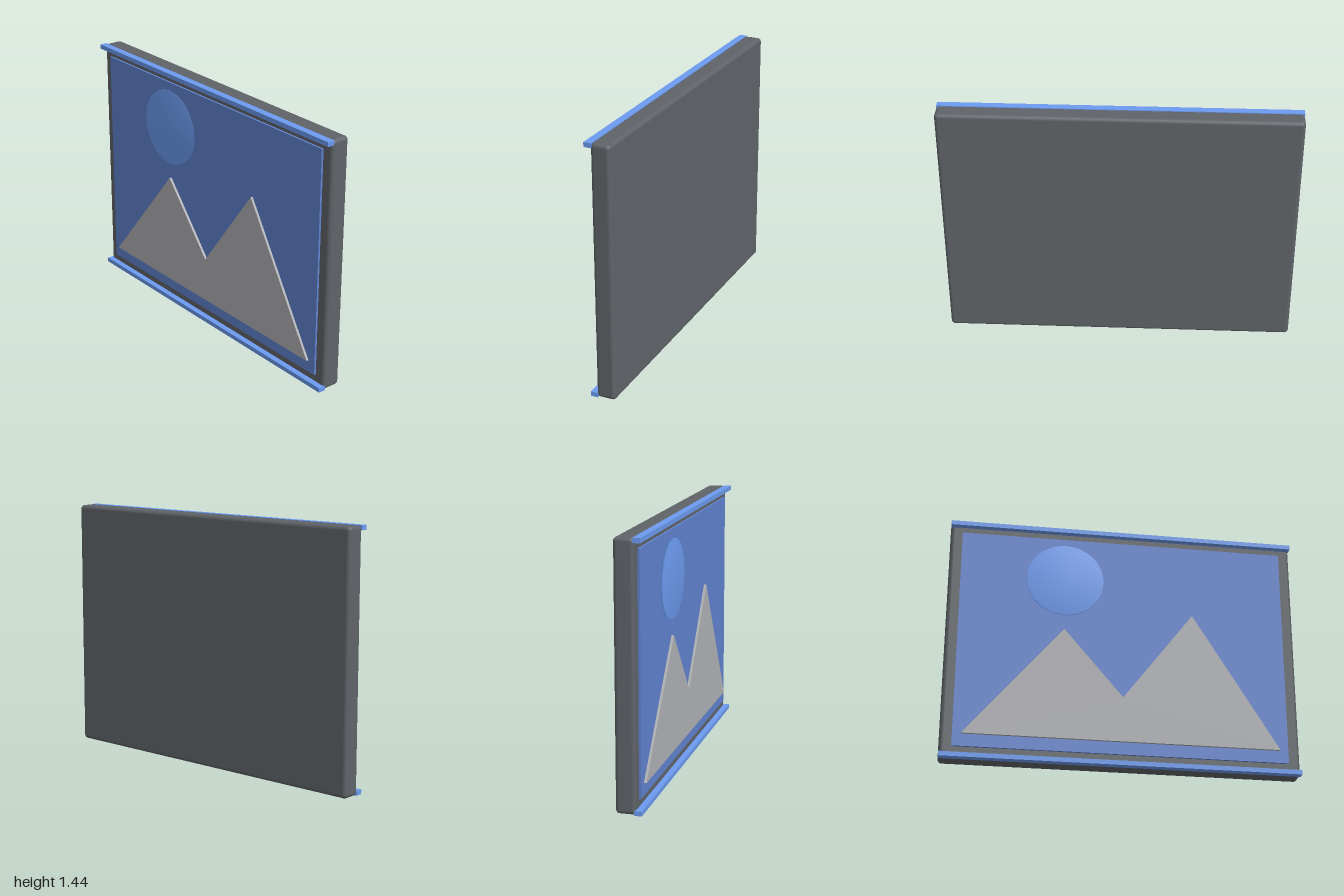
import * as THREE from 'three';
import { RoundedBoxGeometry } from 'three/addons/geometries/RoundedBoxGeometry.js';
import { mergeVertices } from 'three/addons/utils/BufferGeometryUtils.js';

const HEIGHT = 1.444;

export function createModel() {
  const model = new THREE.Group();
  model.name = 'pictureFrame';

  const material = (color) => new THREE.MeshStandardMaterial({ color });
  const dark = material(0x5f6368);
  const lightBlue = material(0x6c9bf0);
  const blue = material(0x6083cf);
  const grey = material(0xb0b1b5);

  const add = (name, geometry, mat, x, y, z) => {
    const mesh = new THREE.Mesh(geometry, mat);
    mesh.name = name;
    mesh.position.set(x, y, z);
    model.add(mesh);
    return mesh;
  };

  // Rounded backing slab
  add('frameBody', new RoundedBoxGeometry(2, HEIGHT, 0.11, 4, 0.022), dark, 0, HEIGHT / 2, -0.017);

  // Sky panel, slightly proud of the slab
  add('skyPanel', new THREE.BoxGeometry(1.866, 1.312, 0.02), blue, 0, 0.725, 0.04);

  // Thin rails along the top and bottom edges
  const rail = new THREE.BoxGeometry(2, 0.026, 0.042);
  add('bottomRail', rail, lightBlue, 0, 0.013, 0.051);
  add('topRail', rail, lightBlue, 0, HEIGHT - 0.013, 0.051);

  // Twin-peaked mountain cut-out
  const outline = new THREE.Shape(
    [[-0.885, 0.14], [0.885, 0.14], [0.4, 0.935], [0, 0.402], [-0.335, 0.8]]
      .map(([x, y]) => new THREE.Vector2(x, y))
  );
  add('mountains', new THREE.ExtrudeGeometry(outline, { depth: 0.018, bevelEnabled: false }), grey, 0, 0, 0.046);

  // Sun disc, with normals blended smoothly over its rim
  let disc = new THREE.CylinderGeometry(0.222, 0.222, 0.018, 20);
  disc.rotateX(Math.PI / 2);
  disc.deleteAttribute('normal');
  disc.deleteAttribute('uv');
  disc = mergeVertices(disc);
  disc.computeVertexNormals();
  add('sun', disc, lightBlue, -0.335, 1.113, 0.055);

  return model;
}
